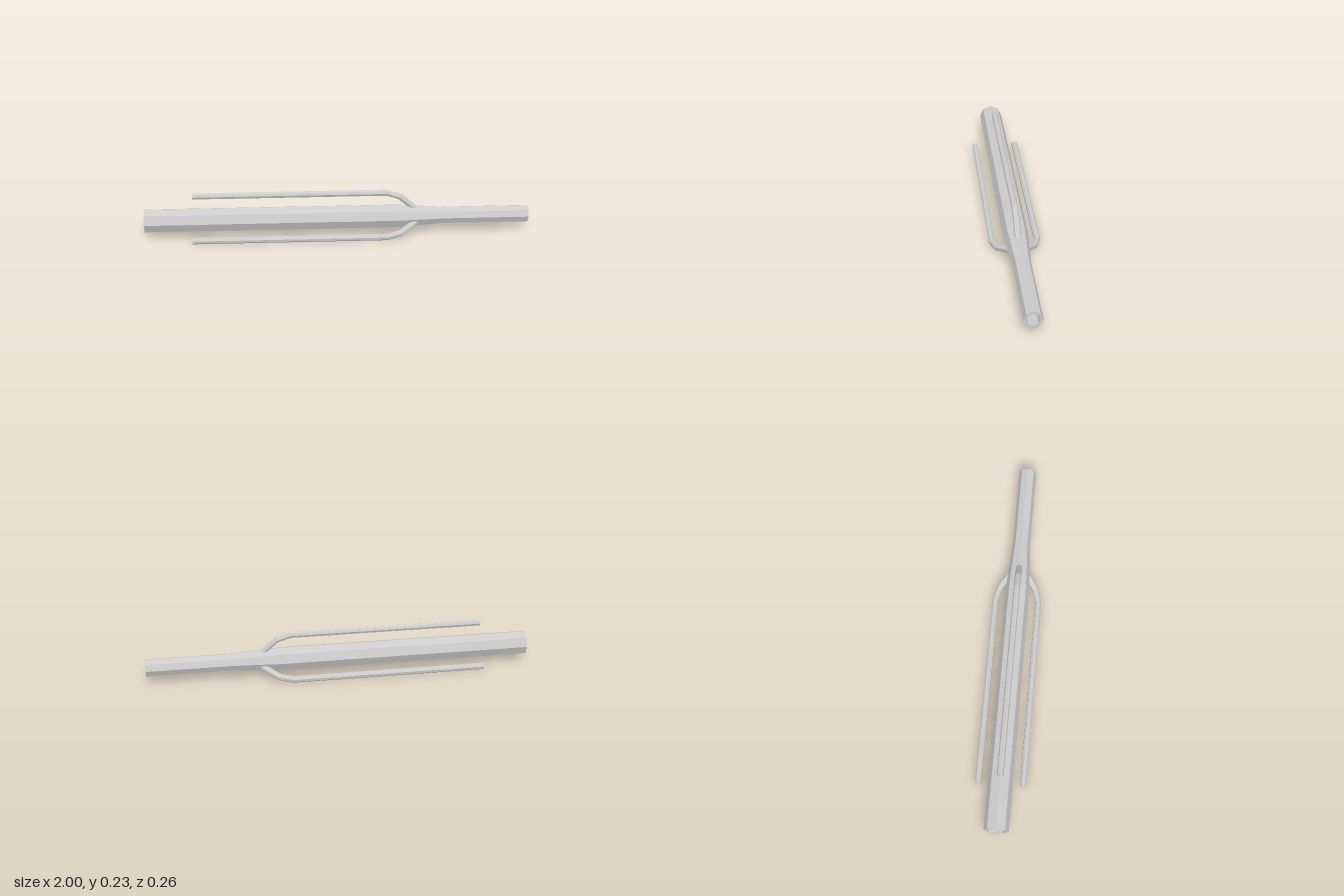
import * as THREE from 'three';

const SIDES = 8;
const AXIS_Y = 0.083;

// Hollow octagonal tube swept along a mitred path of [x, radial offset] points
function pipe(path, outer, inner) {
  const pts = path.map(([x, y]) => new THREE.Vector2(x, y));
  const rings = [];
  const addRing = (i, r) => {
    const a = pts[Math.max(i - 1, 0)], b = pts[i], c = pts[Math.min(i + 1, pts.length - 1)];
    const d1 = (i ? b.clone().sub(a) : c.clone().sub(b)).normalize();
    const d2 = (i < pts.length - 1 ? c.clone().sub(b) : d1.clone()).normalize();
    const t = d1.clone().add(d2).normalize();
    const stretch = 1 / t.dot(d1);
    rings.push(Array.from({ length: SIDES }, (_, k) => {
      const ang = (k / SIDES) * Math.PI * 2;
      const n = Math.cos(ang) * r * stretch;
      return [b.x - t.y * n, b.y + t.x * n, Math.sin(ang) * r];
    }));
  };
  for (let i = 0; i < pts.length; i++) addRing(i, outer);
  for (let i = pts.length - 1; i >= 0; i--) addRing(i, inner);

  const pos = [];
  rings.forEach((ring, i) => {
    const next = rings[(i + 1) % rings.length];
    for (let k = 0; k < SIDES; k++) {
      const m = (k + 1) % SIDES;
      pos.push(...ring[k], ...ring[m], ...next[m], ...ring[k], ...next[m], ...next[k]);
    }
  });
  // make the outer wall face outward
  for (let i = 0; i < pos.length; i += 9) {
    for (let j = 0; j < 3; j++) {
      [pos[i + 3 + j], pos[i + 6 + j]] = [pos[i + 6 + j], pos[i + 3 + j]];
    }
  }
  const geo = new THREE.BufferGeometry();
  geo.setAttribute('position', new THREE.Float32BufferAttribute(pos, 3));
  geo.computeVertexNormals();
  return geo;
}

export function createModel() {
  const model = new THREE.Group();
  const mat = new THREE.MeshStandardMaterial({
    color: 0xcccccc, flatShading: true, side: THREE.DoubleSide,
  });

  // Main tube: wide rear, short taper, narrow front, with a bore right through
  const profile = [
    [0.063, -1], [0.063, 0.31], [0.046, 0.56], [0.046, 1],
    [0.034, 1], [0.034, 0.56], [0.05, 0.31], [0.05, -1], [0.063, -1],
  ].map(([r, y]) => new THREE.Vector2(r, y));
  const tubeGeo = new THREE.LatheGeometry(profile, SIDES);
  tubeGeo.rotateZ(-Math.PI / 2);
  const tube = new THREE.Mesh(tubeGeo, mat);
  tube.name = 'mainTube';
  tube.position.y = AXIS_Y;
  model.add(tube);

  // Three side pipes branching off the taper and running back along the tube
  const pipeGeo = pipe([[-0.75, 0.133], [0.255, 0.133], [0.325, 0.111], [0.405, 0.043]], 0.017, 0.011);
  for (let i = 0; i < 3; i++) {
    const side = new THREE.Mesh(pipeGeo, mat);
    side.name = `sidePipe${i + 1}`;
    side.position.y = AXIS_Y;
    side.rotation.x = (i * Math.PI * 2) / 3;
    model.add(side);
  }
  return model;
}
